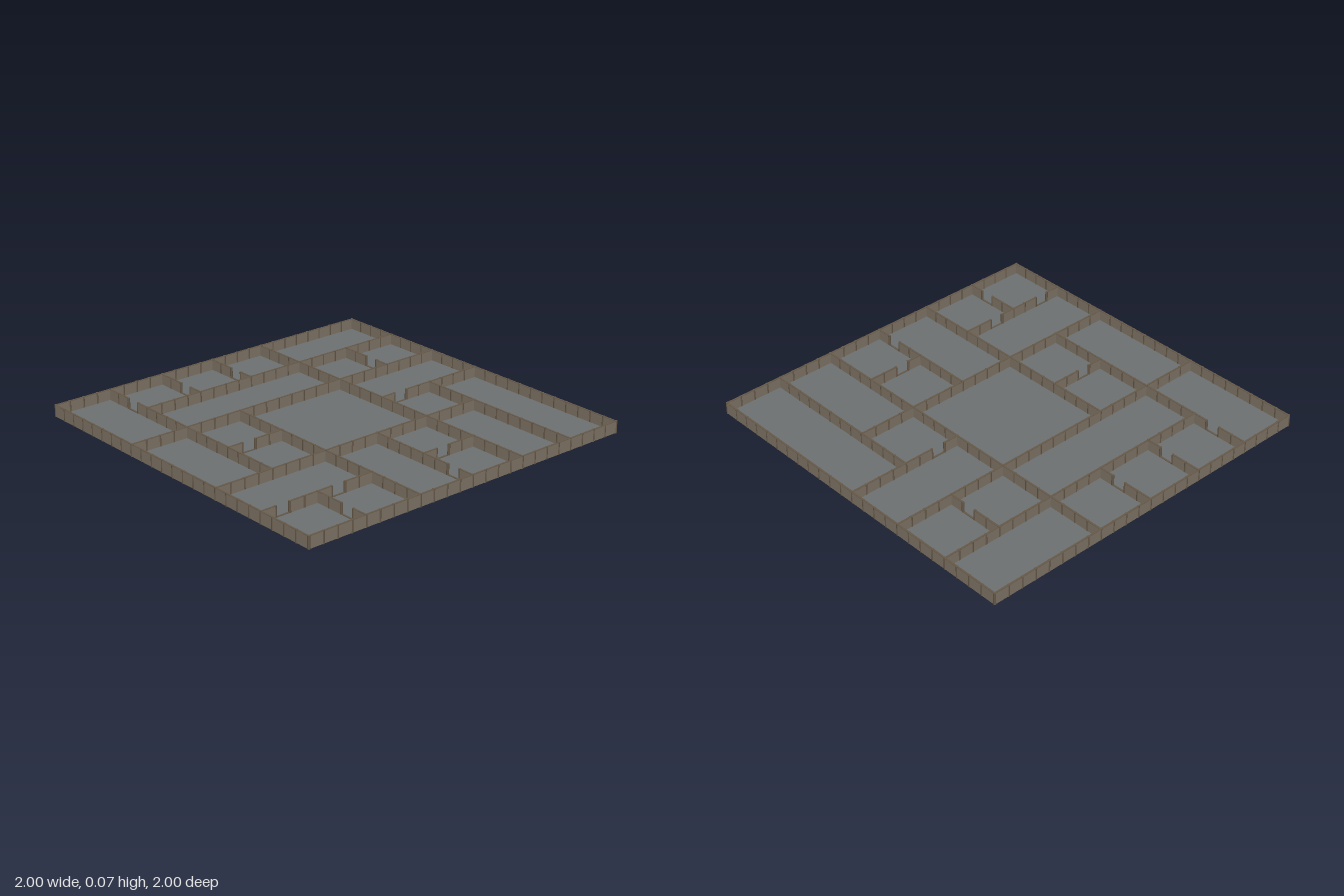
import * as THREE from 'three';

const CELL = 0.331, N = 6, HALF = CELL * N / 2;
const PANELS = 4, STEP = CELL / PANELS;   // four wall panels per cell
const FLOOR = 0.006, WALL = 0.01, TOP = 0.063;

// Wall runs in cell units: [grid line, start, end, cells with a doorway]
const ALONG_Z = [
  [0, 0, 6], [6, 0, 6], [1, 0, 5], [2, 0, 6], [3, 0, 2, [1]], [3, 4, 5, [4]],
  [4, 1, 6], [5, 2, 3, [2]], [5, 4, 6, [4, 5]],
];
const ALONG_X = [
  [0, 0, 6], [6, 0, 6], [1, 1, 2, [1]], [1, 3, 6], [2, 0, 6], [3, 0, 1, [0]],
  [3, 4, 6, [5]], [4, 0, 1, [0]], [4, 2, 6], [5, 0, 4, [0]], [5, 5, 6, [5]],
];

function material(name, color) {
  const m = new THREE.MeshStandardMaterial({ color });
  m.name = name;
  return m;
}

export function createModel() {
  const model = new THREE.Group();
  model.name = 'floorPlan';
  const stone = material('grey floor', 0x6c7071);
  const plaster = material('brown wall', 0x7c7163);
  const wood = material('dark brown post', 0x655848);

  const add = (name, geometry, mat, x, y, z, parent = model) => {
    const mesh = new THREE.Mesh(geometry, mat);
    mesh.name = name;
    mesh.position.set(x, y, z);
    parent.add(mesh);
    return mesh;
  };

  // Floor slab
  add('floor', new THREE.BoxGeometry(HALF * 2, FLOOR, HALF * 2), stone, 0, FLOOR / 2 + 0.001, 0);

  // One post at each panel joint, shared by crossing walls
  const postGeometry = new THREE.CylinderGeometry(0.007, 0.007, 0.066, 8);
  const posts = new THREE.Group();
  posts.name = 'posts';
  model.add(posts);
  const placed = new Set();
  const addPost = (x, z) => {
    const key = `${Math.round(x * 1000)},${Math.round(z * 1000)}`;
    if (placed.has(key)) return;
    placed.add(key);
    add('post', postGeometry, wood, x, 0.033, z, posts);
  };

  // A run of wall panels, broken by doorways with a low sill
  function addWall([line, start, end, doors = []], alongZ) {
    const wall = new THREE.Group();
    wall.name = line === 0 || line === N ? 'outerWall' : 'innerWall';
    model.add(wall);
    const across = line * CELL - HALF;
    const place = t => (alongZ ? [across, t] : [t, across]);

    const addPiece = (name, from, to, height, mat) => {
      const length = (to - from) * STEP;
      const [x, z] = place((from + to) / 2 * STEP - HALF);
      const box = alongZ
        ? new THREE.BoxGeometry(WALL, height, length)
        : new THREE.BoxGeometry(length, height, WALL);
      add(name, box, mat, x, 0.002 + height / 2, z, wall);
    };

    let from = start * PANELS;
    for (const cell of doors) {
      const gap = cell * PANELS + 2;
      addPiece('wallPanel', from, gap, TOP - 0.002, plaster);
      addPiece('doorSill', gap, gap + 1, 0.008, wood);
      from = gap + 1;
    }
    addPiece('wallPanel', from, end * PANELS, TOP - 0.002, plaster);

    for (let i = start * PANELS; i <= end * PANELS; i++) addPost(...place(i * STEP - HALF));

    // Dark capping along the top of the standing panels
    for (const panel of [...wall.children]) {
      if (panel.name !== 'wallPanel') continue;
      const { width, depth } = panel.geometry.parameters;
      add('wallCap', new THREE.BoxGeometry(width, 0.002, depth), wood,
        panel.position.x, TOP + 0.001, panel.position.z, wall);
    }
  }

  ALONG_Z.forEach(run => addWall(run, true));
  ALONG_X.forEach(run => addWall(run, false));
  return model;
}
